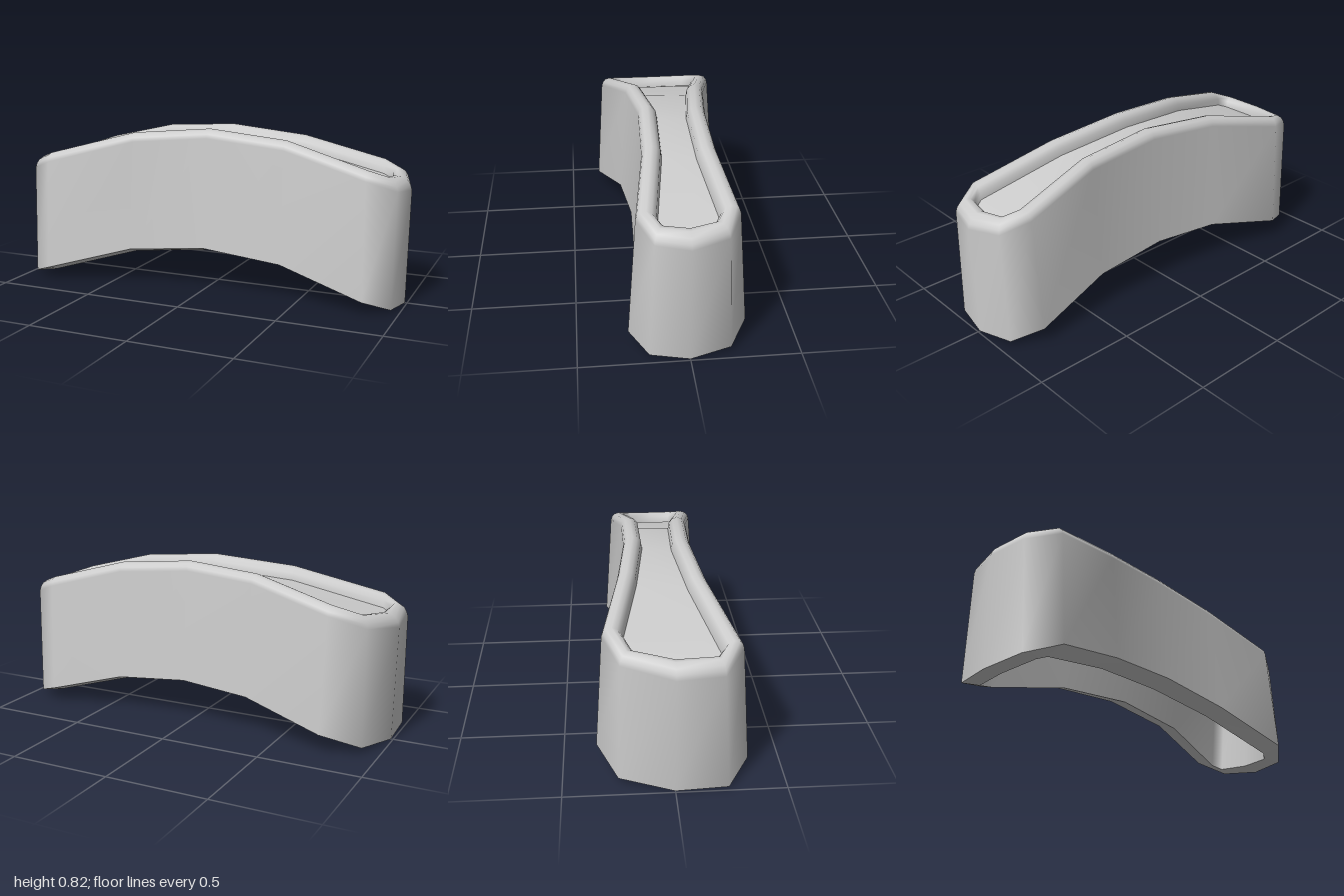
import * as THREE from 'three';

// Stations around the outline: left end, front side, right end, back side.
// Each row: wall foot x, z | wall top x, z | inner rim x, z
const stations = [
  [-0.99, 0.0, -1.0, 0.0, -0.905, 0.0],
  [-0.98, 0.24, -0.985, 0.21, -0.9, 0.18],
  [-0.84, 0.342, -0.84, 0.305, -0.86, 0.21],
  [-0.4, 0.23, -0.4, 0.19, -0.42, 0.1],
  [0.0, 0.195, 0.0, 0.15, 0.0, 0.055],
  [0.41, 0.205, 0.41, 0.165, 0.41, 0.07],
  [0.84, 0.267, 0.83, 0.225, 0.84, 0.13],
  [0.96, 0.18, 0.965, 0.155, 0.885, 0.105],
  [0.99, 0.0, 1.0, 0.0, 0.9, 0.0],
  [0.945, -0.19, 0.95, -0.17, 0.88, -0.11],
  [0.81, -0.275, 0.82, -0.235, 0.83, -0.14],
  [0.41, -0.225, 0.42, -0.185, 0.43, -0.09],
  [0.03, -0.23, 0.03, -0.185, 0.03, -0.09],
  [-0.33, -0.262, -0.34, -0.225, -0.36, -0.135],
  [-0.74, -0.345, -0.75, -0.308, -0.755, -0.215],
  [-0.92, -0.25, -0.915, -0.235, -0.86, -0.17],
];
const N = stations.length;

// Arched heights along x
const bottomY = (x) => 0.22 - 0.22 * x * x;
const crestY = (x) => 0.82 - 0.21 * x * x;

// Rim cross-section: [fraction from wall top to inner rim, height against crest]
const rimProfile = [[0, -0.045], [0.07, -0.025], [0.22, -0.008], [0.5, 0], [0.75, -0.008], [0.94, -0.03], [1, -0.065]];

function makeMesh(name, points, index, side = THREE.FrontSide) {
  const geometry = new THREE.BufferGeometry().setFromPoints(points);
  geometry.setIndex(index);
  geometry.computeVertexNormals();
  const mesh = new THREE.Mesh(geometry, new THREE.MeshStandardMaterial({ color: 0xcccccc, side }));
  mesh.name = name;
  return mesh;
}

// Joins closed loops of points into a smooth band
function band(name, loops) {
  const index = [];
  for (let j = 0; j < loops.length - 1; j++) {
    for (let i = 0; i < N; i++) {
      const k = (i + 1) % N;
      const a = j * N + i, b = j * N + k, c = a + N, d = b + N;
      index.push(a, b, d, a, d, c);
    }
  }
  return makeMesh(name, loops.flat(), index);
}

export function createModel() {
  const group = new THREE.Group();
  group.name = 'archedTray';

  const foot = stations.map(([x, z]) => new THREE.Vector3(x, bottomY(x), z));
  const rim = rimProfile.map(([t, dy]) => stations.map(([, , ox, oz, ix, iz]) => {
    const x = THREE.MathUtils.lerp(ox, ix, t);
    return new THREE.Vector3(x, crestY(x) + dy, THREE.MathUtils.lerp(oz, iz, t));
  }));
  const floorEdge = rim[rim.length - 1];
  const innerFoot = stations.map(([, , , , ix, iz]) => {
    const x = ix * 0.985;
    return new THREE.Vector3(x, bottomY(x) - 0.03, iz + 0.04 * Math.sign(iz));
  });

  // Outer wall rolling over into the rounded rim
  group.add(band('outerWallAndRim', [foot, ...rim]));
  // Bevelled lip around the underside opening
  group.add(band('bottomLip', [innerFoot, foot]));
  // Inside of the hollow
  group.add(band('innerWall', [floorEdge, innerFoot]));

  // Recessed floor: strips between facing front and back stations
  const index = [];
  for (let i = 0; i < N / 2; i++) {
    const a = i, b = i + 1, c = N - 1 - i, d = (N - i) % N;
    if (b !== c) index.push(a, b, c);
    if (a !== d) index.push(a, c, d);
  }
  group.add(makeMesh('recessedFloor', floorEdge, index, THREE.DoubleSide));

  return group;
}
